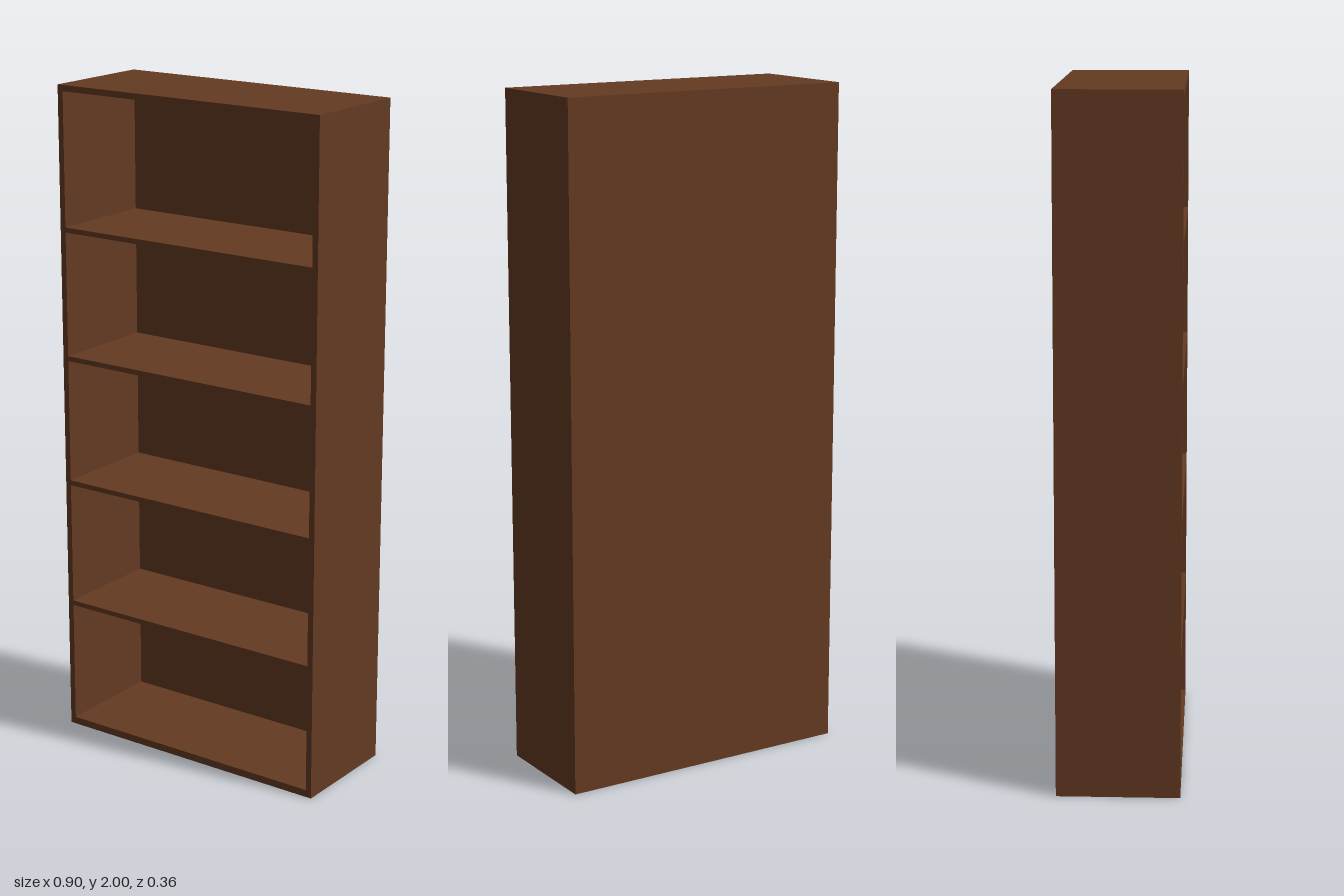
import * as THREE from 'three';

export function createModel() {
  const W = 0.9, H = 2, D = 0.355; // overall size
  const T = 0.018;                 // carcass board thickness
  const BACK = 0.02;               // back panel thickness
  const wood = new THREE.MeshStandardMaterial({ color: 0x643a22 });
  wood.name = 'brown wood';

  const model = new THREE.Group();
  model.name = 'bookcase';

  const board = (name, w, h, d, x, y, z) => {
    const mesh = new THREE.Mesh(new THREE.BoxGeometry(w, h, d), wood);
    mesh.name = name;
    mesh.position.set(x, y, z);
    model.add(mesh);
  };

  const innerW = W - 2 * T, innerD = D - BACK, innerZ = BACK / 2;

  // Side panels
  for (const [name, s] of [['leftSide', 1], ['rightSide', -1]]) {
    board(name, T, H, innerD, s * (W - T) / 2, H / 2, innerZ);
  }

  // Top, bottom and back panels
  board('topPanel', innerW, T, innerD, 0, H - T / 2, innerZ);
  board('bottomPanel', innerW, 0.022, innerD, 0, 0.011, innerZ);
  board('backPanel', W, H, BACK, 0, H / 2, -(D - BACK) / 2);

  // Four evenly spaced shelves
  for (let i = 1; i <= 4; i++) {
    board(`shelf${i}`, innerW, 0.015, innerD, 0, 0.016 + 0.39 * i, innerZ);
  }

  return model;
}
